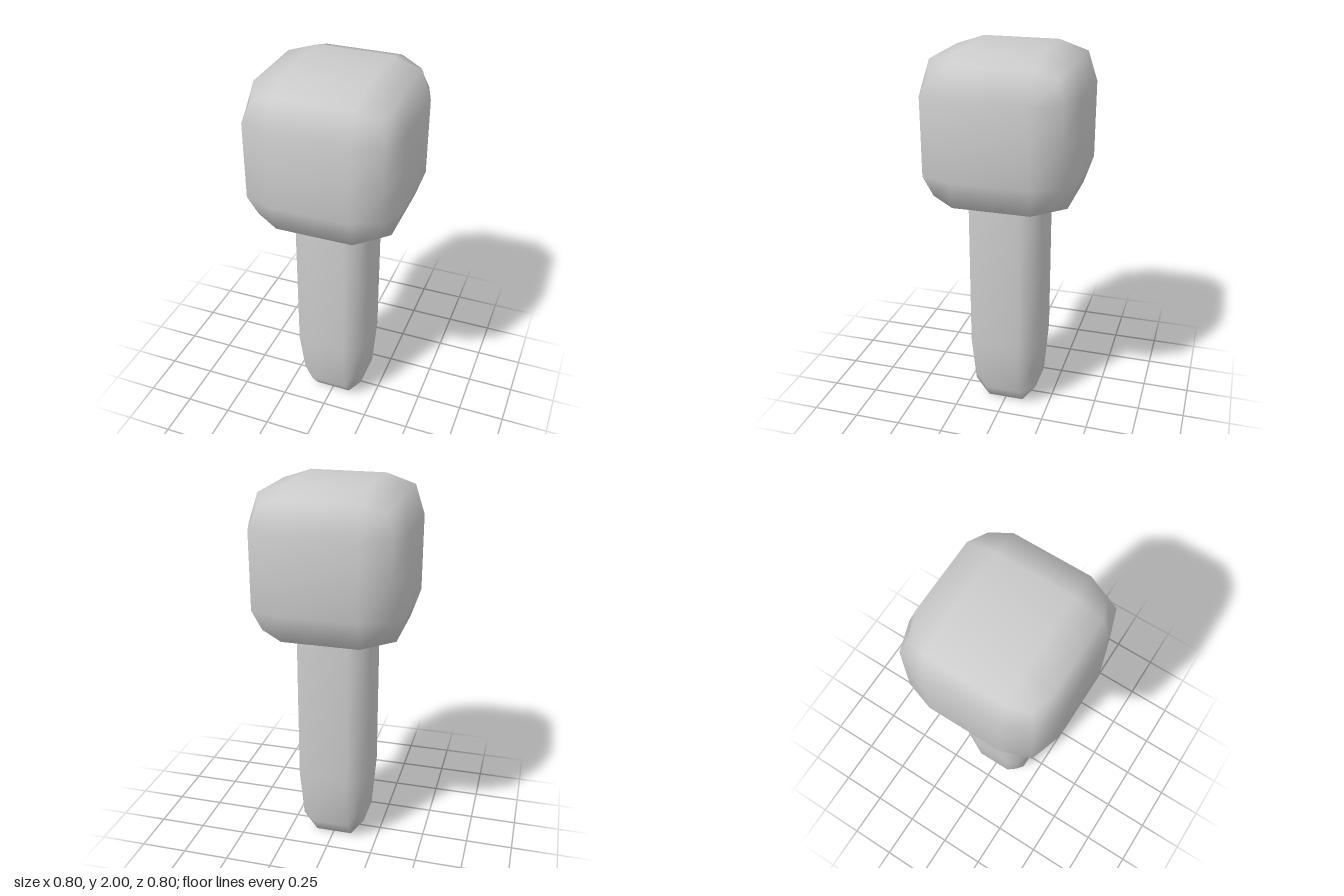
import * as THREE from 'three';
import { mergeVertices } from 'three/addons/utils/BufferGeometryUtils.js';

const material = new THREE.MeshStandardMaterial({ color: 0xcccccc });

// A box softened by one smoothing step: edges and corners are pulled inwards
function softBlock(name, width, height, depth, centreY) {
  let geometry = new THREE.BoxGeometry(2, 2, 2, 4, 4, 4);
  geometry.deleteAttribute('normal');
  geometry.deleteAttribute('uv');
  geometry = mergeVertices(geometry);

  // Pull factor by how many sides the vertex lies on: face, edge, corner
  const pull = [1, 1, 7 / 8, 7 / 9];
  const position = geometry.attributes.position;
  const isOuter = (c) => Math.abs(c) > 0.99;
  for (let i = 0; i < position.count; i++) {
    const p = [position.getX(i), position.getY(i), position.getZ(i)];
    const factor = pull[p.filter(isOuter).length];
    position.setXYZ(i, ...p.map((c) => (isOuter(c) ? c * factor : c)));
  }

  geometry.scale(width / 2, height / 2, depth / 2);
  geometry.computeVertexNormals();
  const mesh = new THREE.Mesh(geometry, material);
  mesh.name = name;
  mesh.position.y = centreY;
  return mesh;
}

export function createModel() {
  const model = new THREE.Group();
  model.name = 'mallet';
  // The shaft's upper end is sunk into the middle of the head
  model.add(softBlock('shaft', 0.4, 1.6, 0.4, 0.8));
  model.add(softBlock('head', 0.8, 0.8, 0.8, 1.6));
  return model;
}
